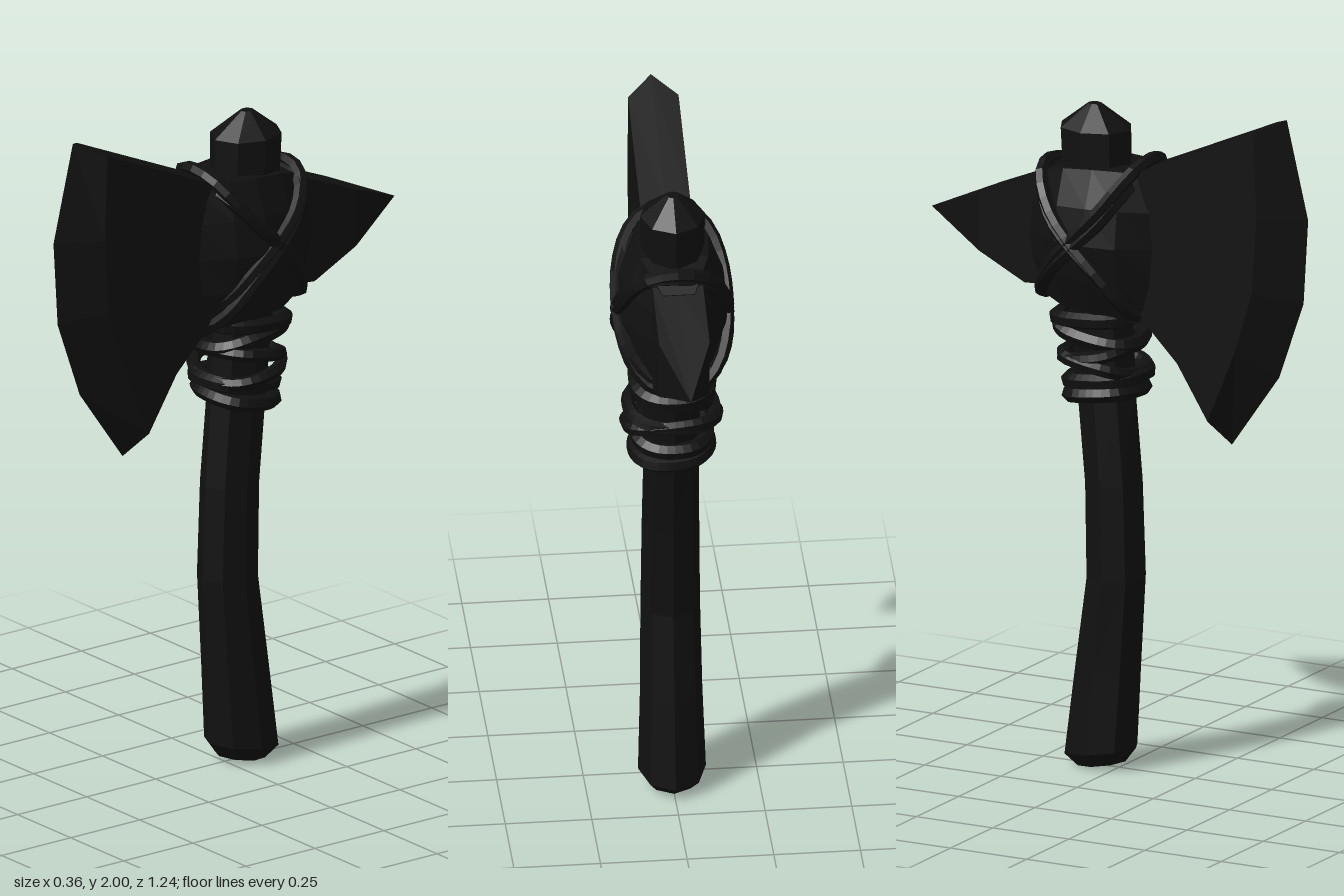
import * as THREE from 'three';

const material = new THREE.MeshStandardMaterial({ color: 0x101010, flatShading: true });
const V = (x, y, z) => new THREE.Vector3(x, y, z);

// Skin a list of equal-length rings and close both ends with fans.
// Rings run counter-clockwise when seen from the far end.
function loft(name, rings) {
  const pos = [];
  const tri = (...pts) => pts.forEach((p) => pos.push(p.x, p.y, p.z));
  const n = rings[0].length;
  const middle = (ring) => ring.reduce((s, p) => s.add(p), V(0, 0, 0)).divideScalar(n);
  const first = rings[0], last = rings[rings.length - 1];
  const c0 = middle(first), c1 = middle(last);
  for (let i = 0; i < n; i++) {
    const j = (i + 1) % n;
    for (let k = 0; k + 1 < rings.length; k++) {
      const a = rings[k], b = rings[k + 1];
      tri(a[i], a[j], b[j]);
      tri(a[i], b[j], b[i]);
    }
    tri(c0, first[j], first[i]);
    tri(c1, last[i], last[j]);
  }
  const geometry = new THREE.BufferGeometry();
  geometry.setAttribute('position', new THREE.Float32BufferAttribute(pos, 3));
  geometry.computeVertexNormals();
  const mesh = new THREE.Mesh(geometry, material);
  mesh.name = name;
  return mesh;
}

// Bevelled stone slab: flat faces at +-half thickness, sharp outline at x = 0
function slab(name, outline, face, half) {
  const ring = (pts, x) => pts.map(([z, y]) => V(x, y, z));
  return loft(name, [ring(face, -half), ring(outline, 0), ring(face, half)]);
}

// Closed rope loop round the haft; tiltZ raises its front, tiltX its left side
function rope(name, { y, z, rx, rz, tiltZ = 0, tiltX = 0, r = 0.024, square = 0.8 }) {
  const pts = [];
  const soft = (v) => Math.sign(v) * Math.abs(v) ** square;
  for (let i = 0; i < 16; i++) {
    const t = (i / 16) * Math.PI * 2, s = Math.sin(t), c = Math.cos(t);
    pts.push(V(rx * soft(s), y + tiltZ * c + tiltX * s, z + rz * soft(c)));
  }
  const curve = new THREE.CatmullRomCurve3(pts, true);
  const mesh = new THREE.Mesh(new THREE.TubeGeometry(curve, 32, r, 6, true), material);
  mesh.name = name;
  return mesh;
}

export function createModel() {
  const model = new THREE.Group();
  model.name = 'stoneAxe';

  // Curved wooden haft: [y, front z, back z, half width, drop towards the back]
  const haft = [
    [0.01, 0.02, -0.13, 0.07, -0.01],
    [0.05, 0.055, -0.175, 0.098, -0.015],
    [0.3, 0.067, -0.14, 0.09, 0],
    [0.57, 0.08, -0.1, 0.086, 0],
    [0.85, 0.07, -0.105, 0.083, 0],
    [1.1, 0.05, -0.13, 0.08, 0],
    [1.4, 0.04, -0.16, 0.085, 0],
    [1.9, 0.035, -0.188, 0.094, 0],
    [1.968, -0.06, -0.1, 0.018, 0],
  ];
  model.add(loft('haft', haft.map(([y, front, back, half, drop]) => {
    const ring = [];
    for (let i = 0; i < 8; i++) {
      const t = (i / 8) * Math.PI * 2, c = Math.cos(t);
      ring.push(V(half * Math.sin(t), y - drop * c, (front + back) / 2 + ((front - back) / 2) * c));
    }
    return ring;
  })));

  // Swollen middle of the stone head: [z, half width, bottom, top]
  const head = [
    [-0.26, 0.07, 1.43, 1.74],
    [-0.2, 0.11, 1.4, 1.77],
    [-0.13, 0.152, 1.38, 1.79],
    [-0.03, 0.166, 1.37, 1.8],
    [0.06, 0.138, 1.36, 1.8],
    [0.15, 0.072, 1.36, 1.79],
  ];
  const section = [[1, 0], [0.9, 0.5], [0.65, 1], [-0.65, 1], [-0.9, 0.5],
    [-1, 0], [-0.9, -0.5], [-0.65, -1], [0.65, -1], [0.9, -0.5]];
  model.add(loft('headSocket', head.map(([z, w, lo, hi]) =>
    section.map(([u, v]) => V(u * w, (lo + hi) / 2 + (v * (hi - lo)) / 2, z)))));

  // Broad cutting blade, points as [z, y]
  const root = [[0.23, 1.25], [0.14, 1.34], [0, 1.37], [0, 1.79], [0.12, 1.81]];
  model.add(slab('blade',
    [[0.55, 2], [0.62, 1.71], [0.605, 1.46], [0.525, 1.23], [0.37, 1.01], ...root],
    [[0.48, 1.968], [0.49, 1.71], [0.475, 1.49], [0.42, 1.31], [0.33, 1.09], ...root], 0.073));

  // Pointed spike at the back
  const base = [[-0.23, 1.75], [0, 1.79], [0, 1.39], [-0.2, 1.43], [-0.27, 1.425]];
  model.add(slab('backSpike',
    [...base, [-0.615, 1.59], [-0.615, 1.59]],
    [...base, [-0.42, 1.5], [-0.42, 1.672]], 0.073));

  // Crossed lashing over the head, two strands each way
  for (const side of [1, -1]) {
    for (const [k, shift] of [0, 1].entries()) {
      model.add(rope(`crossLashing${side > 0 ? 'Down' : 'Up'}${k + 1}`, {
        y: 1.59 + side * (0.02 - shift * 0.015),
        z: -0.06 - shift * 0.005,
        rx: 0.158,
        rz: 0.165 - shift * 0.012,
        tiltZ: side * (0.215 - shift * 0.035),
        tiltX: shift * 0.02,
        r: 0.02,
      }));
    }
  }

  // Binding wound round the haft below the head
  const coils = [
    { y: 1.345, z: -0.06, rx: 0.105, rz: 0.125, tiltZ: 0.01 },
    { y: 1.3, z: -0.058, rx: 0.1, rz: 0.12, tiltZ: -0.025, tiltX: 0.01 },
    { y: 1.25, z: -0.05, rx: 0.125, rz: 0.105, tiltZ: 0.02, tiltX: 0.012, r: 0.02 },
    { y: 1.21, z: -0.045, rx: 0.13, rz: 0.11, tiltZ: -0.025, tiltX: -0.012, r: 0.02 },
    { y: 1.165, z: -0.035, rx: 0.1, rz: 0.11, tiltZ: 0.015 },
    { y: 1.12, z: -0.04, rx: 0.105, rz: 0.1, tiltZ: 0.015, tiltX: -0.008 },
  ];
  coils.forEach((coil, i) => model.add(rope(`bindingCoil${i + 1}`, coil)));

  return model;
}
